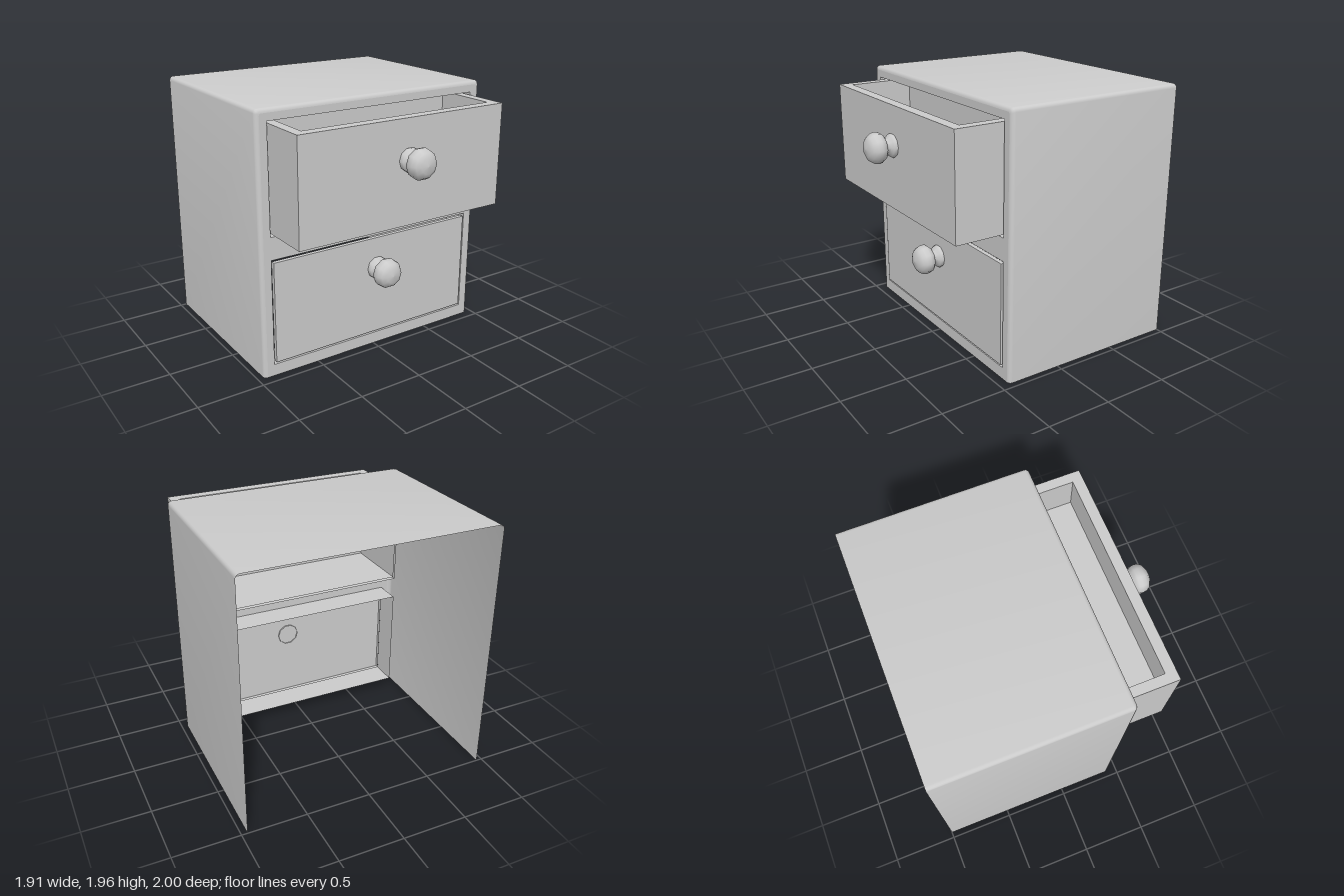
import * as THREE from 'three';
import { toCreasedNormals } from 'three/addons/utils/BufferGeometryUtils.js';

const material = new THREE.MeshStandardMaterial({ color: 0xcccccc, side: THREE.DoubleSide });
const HALF = 0.955, TOP = 1.96, BACK = -1, FRONT = 0.43, BEVEL = 0.03, LIP_BACK = 0.22;
const OPEN_HALF = 0.87, PANEL_HALF = 0.855, KNOB_X = 0.02;
const upper = { y0: 1.07, y1: 1.875 }, lower = { y0: 0.09, y1: 0.9 };

function mesh(name, geometry) {
  const m = new THREE.Mesh(geometry, material);
  m.name = name;
  return m;
}

// Box that keeps only the listed faces (0 +x, 1 -x, 2 +y, 3 -y, 4 +z, 5 -z)
function sheetBox(half, y0, y1, z0, z1, faces) {
  const g = new THREE.BoxGeometry(half * 2, y1 - y0, z1 - z0);
  const all = Array.from(g.index.array);
  g.setIndex(faces.flatMap((f) => all.slice(f * 6, f * 6 + 6)));
  g.clearGroups();
  return g.translate(0, (y0 + y1) / 2, (z0 + z1) / 2);
}

// Upside-down U outline with rounded top corners, shrunk by an inset
function outline(inset) {
  const pts = [[HALF - inset, 0]];
  for (const [side, start] of [[1, 0], [-1, Math.PI / 2]]) {
    for (let i = 0; i <= 4; i++) {
      const a = start + (i / 4) * Math.PI / 2, r = BEVEL - inset * 0.5;
      pts.push([side * (HALF - inset - r) + r * Math.cos(a), TOP - inset - r + r * Math.sin(a)]);
    }
  }
  pts.push([-(HALF - inset), 0]);
  return pts;
}

// Sides and top of the cabinet, rounded over toward the front
function shellGeometry() {
  const sections = [[0, BACK]];
  for (let i = 0; i <= 4; i++) {
    const a = (i / 4) * Math.PI / 2;
    sections.push([BEVEL * (1 - Math.cos(a)), FRONT - BEVEL + BEVEL * Math.sin(a)]);
  }
  const pos = [], idx = [], n = outline(0).length;
  for (const [inset, z] of sections) for (const [x, y] of outline(inset)) pos.push(x, y, z);
  for (let s = 0; s < sections.length - 1; s++) {
    for (let i = 0; i < n - 1; i++) {
      const a = s * n + i, b = a + n;
      idx.push(a, a + 1, b, a + 1, b + 1, b);
    }
  }
  const g = new THREE.BufferGeometry();
  g.setAttribute('position', new THREE.Float32BufferAttribute(pos, 3));
  g.setIndex(idx);
  return toCreasedNormals(g, 0.7);
}

// Front frame with two drawer openings
function frameGeometry() {
  const shape = new THREE.Shape(outline(BEVEL).map(([x, y]) => new THREE.Vector2(x, y)));
  for (const { y0, y1 } of [upper, lower]) {
    shape.holes.push(new THREE.Path([
      new THREE.Vector2(-OPEN_HALF, y0), new THREE.Vector2(-OPEN_HALF, y1),
      new THREE.Vector2(OPEN_HALF, y1), new THREE.Vector2(OPEN_HALF, y0),
    ]));
  }
  return new THREE.ShapeGeometry(shape).translate(0, 0, FRONT);
}

// Ten-sided turned knob: collar, neck and flattened ball
function knob(name, y, z) {
  const profile = [
    [0.085, -0.01], [0.087, 0.015], [0.078, 0.03], [0.06, 0.04], [0.052, 0.055], [0.06, 0.067],
    [0.09, 0.08], [0.108, 0.1], [0.113, 0.125], [0.108, 0.155], [0.09, 0.183], [0.055, 0.203], [0, 0.21],
  ].map(([r, h]) => new THREE.Vector2(r, h));
  const m = mesh(name, new THREE.LatheGeometry(profile, 10, Math.PI / 2).rotateX(Math.PI / 2));
  m.position.set(KNOB_X, y, z);
  return m;
}

// Drawer body with an open tray sunk into its top
function upperDrawer() {
  const g = new THREE.Group();
  g.name = 'upperDrawer';
  const y0 = 1.088, y1 = 1.857, front = 0.79, trayHalf = 0.78, trayFront = 0.71;
  g.add(mesh('drawerBody', sheetBox(PANEL_HALF, y0, y1, LIP_BACK, front, [0, 1, 3, 4])));
  g.add(mesh('drawerTray', sheetBox(trayHalf, 1.58, y1, LIP_BACK, trayFront, [0, 1, 3, 4, 5])));
  const rim = new THREE.Shape([
    [-PANEL_HALF, -LIP_BACK], [-PANEL_HALF, -front], [PANEL_HALF, -front], [PANEL_HALF, -LIP_BACK],
    [trayHalf, -LIP_BACK], [trayHalf, -trayFront], [-trayHalf, -trayFront], [-trayHalf, -LIP_BACK],
  ].map(([x, y]) => new THREE.Vector2(x, y)));
  g.add(mesh('drawerRim', new THREE.ShapeGeometry(rim).rotateX(-Math.PI / 2).translate(0, y1, 0)));
  g.add(knob('upperKnob', 1.565, front));
  return g;
}

export function createModel() {
  const model = new THREE.Group();
  model.name = 'nightstand';
  model.add(mesh('cabinetShell', shellGeometry()), mesh('frontFrame', frameGeometry()));
  // Sleeves running inward from each opening
  for (const [name, o] of [['upperOpening', upper], ['lowerOpening', lower]]) {
    model.add(mesh(name, sheetBox(OPEN_HALF, o.y0, o.y1, LIP_BACK, FRONT, [0, 1, 2, 3])));
  }
  model.add(upperDrawer());
  // Closed lower drawer front
  const closed = new THREE.Group();
  closed.name = 'lowerDrawer';
  closed.add(mesh('lowerPanel', sheetBox(PANEL_HALF, 0.107, 0.88, 0.405, 0.437, [0, 1, 2, 3, 4])));
  closed.add(knob('lowerKnob', 0.64, 0.437));
  model.add(closed);
  return model;
}
